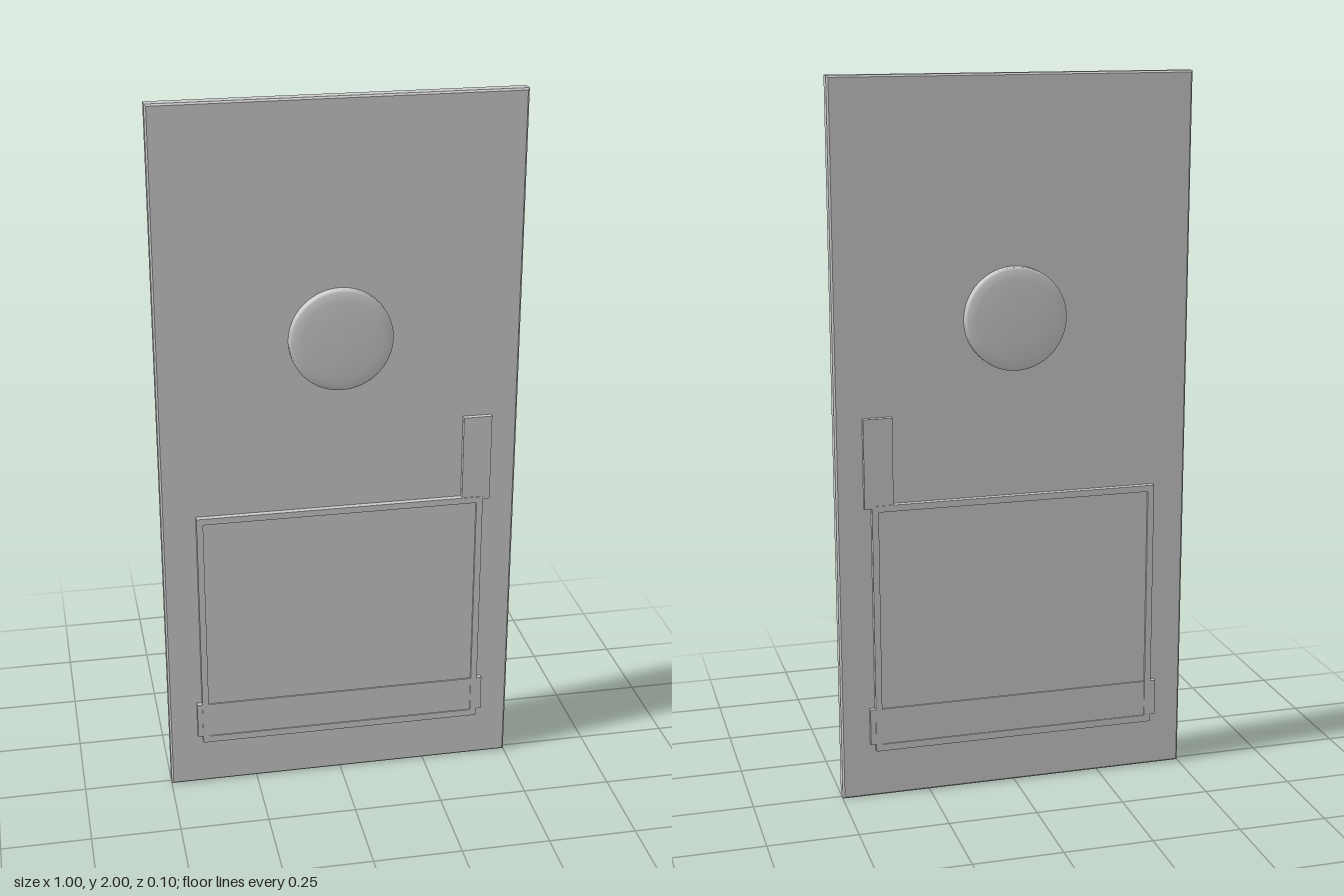
import * as THREE from 'three';

export function createModel() {
  const model = new THREE.Group();
  const grey = new THREE.MeshStandardMaterial({ color: 0xcccccc });
  grey.name = 'light grey';

  const add = (name, geometry, x = 0, y = 0, z = 0) => {
    const mesh = new THREE.Mesh(geometry, grey);
    mesh.name = name;
    mesh.position.set(x, y, z);
    model.add(mesh);
    return mesh;
  };

  // Rectangle outline from two corners
  const rect = (Type, x0, y0, x1, y1) => {
    const p = new Type();
    p.moveTo(x0, y0).lineTo(x1, y0).lineTo(x1, y1).lineTo(x0, y1).closePath();
    return p;
  };

  // A plate that passes through the slab and shows on both faces
  const plate = (name, x0, y0, x1, y1, halfDepth) =>
    add(name, new THREE.BoxGeometry(x1 - x0, y1 - y0, halfDepth * 2), (x0 + x1) / 2, (y0 + y1) / 2);

  // Slab with chamfered edges
  const c = 0.005;
  add('slab', new THREE.ExtrudeGeometry(rect(THREE.Shape, -0.5 + c, c, 0.5 - c, 2 - c), {
    depth: 0.04 - 2 * c, bevelEnabled: true, bevelSegments: 1, bevelSize: c, bevelThickness: c,
  }), 0, 0, -0.02 + c);

  // Raised rim around the shallow panel
  const rim = rect(THREE.Shape, -0.405, 0.14, 0.405, 0.853);
  rim.holes.push(rect(THREE.Path, -0.387, 0.16, 0.387, 0.835));
  add('panelRim', new THREE.ExtrudeGeometry(rim, { depth: 0.074, bevelEnabled: false }), 0, 0, -0.037);
  plate('panelFloor', -0.39, 0.15, 0.39, 0.845, 0.03);

  // Cross bar with projecting ends, and the upright strip
  plate('crossBar', -0.42, 0.16, 0.42, 0.264, 0.034);
  plate('uprightStrip', 0.345, 0.845, 0.425, 1.095, 0.035);

  // Smooth domed button on each face
  const profile = [[0.142, 0], [0.142, 0.025], [0.142, 0.039], [0.136, 0.0435], [0.113, 0.0475], [0.06, 0.049], [0, 0.0495]]
    .map(([r, h]) => new THREE.Vector2(r, h));
  for (const side of [1, -1]) {
    const dome = new THREE.LatheGeometry(profile, 64).rotateX(side * Math.PI / 2);
    add(side > 0 ? 'frontDome' : 'backDome', dome, 0, 1.348, 0);
  }

  return model;
}
